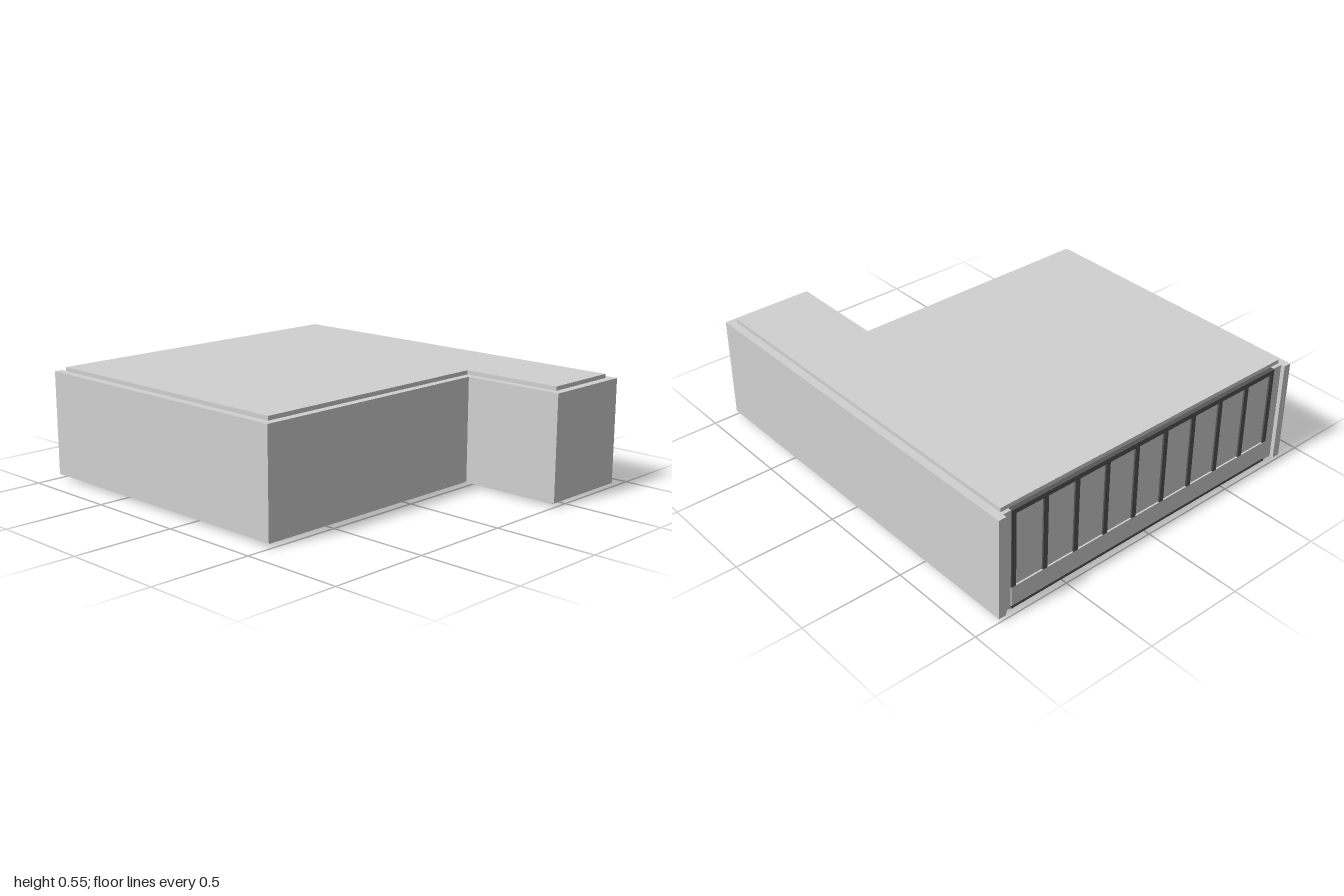
import * as THREE from 'three';

function material(name, color) {
  const m = new THREE.MeshStandardMaterial({ color });
  m.name = name;
  return m;
}
const grey = material('light grey', 0xd1d1d1);
const dark = material('dark frame grey', 0x555555);

const X = 0.875, T = 0.039;      // half width, wall thickness
const Y0 = 0.02, Y1 = 0.53;      // wall base and top
const BACK = -0.963;             // inner plane of the glazed side

// Extrudes a plan outline of [x, z] points upwards from y0 to y1
function slab(name, plan, y0, y1) {
  const shape = new THREE.Shape(plan.map(([x, z]) => new THREE.Vector2(x, -z)));
  const geo = new THREE.ExtrudeGeometry(shape, { depth: y1 - y0, bevelEnabled: false });
  geo.rotateX(-Math.PI / 2).translate(0, y0, 0);
  const mesh = new THREE.Mesh(geo, grey);
  mesh.name = name;
  return mesh;
}

// Box given by its limits on each axis
function box(name, mat, x0, x1, y0, y1, z0, z1) {
  const mesh = new THREE.Mesh(new THREE.BoxGeometry(x1 - x0, y1 - y0, z1 - z0), mat);
  mesh.position.set((x0 + x1) / 2, (y0 + y1) / 2, (z0 + z1) / 2);
  mesh.name = name;
  return mesh;
}

// L-shaped plan, inset from the outer faces, ending at zBack
const outline = (t, zBack) => [
  [-X + t, zBack], [-X + t, 0.49 - t], [0.411 + t, 0.49 - t],
  [0.411 + t, 1 - t], [X - t, 1 - t], [X - t, zBack],
];

export function createModel() {
  const room = new THREE.Group();
  room.name = 'room';

  // Walls around three sides, open at the back
  const walls = [...outline(0, -1), ...outline(T, -1).reverse()];
  room.add(slab('walls', walls, Y0, Y1));

  // Floor and ceiling, set in from the outer wall faces
  room.add(slab('floor', outline(T, BACK), 0, Y0));
  room.add(slab('ceiling', outline(T, BACK), Y1, 0.55));

  // Glazed back side
  const glazing = new THREE.Group();
  glazing.name = 'glazing';
  room.add(glazing);
  const inner = X - T, left = 0.795, right = -0.783, post = 0.025, count = 9;
  const front = -0.985, railBase = Y1 - 0.024, sill = Y0 + 0.014, sillTop = 0.133;

  // Plain jambs and dark rails
  glazing.add(box('jamb', grey, -inner, right, Y0, Y1, -0.98, BACK));
  glazing.add(box('jamb', grey, left, inner, Y0, Y1, -0.98, BACK));
  glazing.add(box('topRail', dark, right, left, railBase, Y1, front, BACK));
  glazing.add(box('bottomRail', dark, right, left, Y0, sill, front, BACK));

  // Dark mullions with a window pane and a lower panel in each bay
  const step = (left - right - post) / count;
  for (let i = 0; i <= count; i++) {
    const x = right + i * step;
    glazing.add(box('mullion', dark, x, x + post, sillTop, railBase, front, BACK));
    if (i === count) break;
    glazing.add(box('windowPane', grey, x + post, x + step, sillTop, railBase, -0.977, -0.97));
  }
  for (let i = 0; i < count; i++) {
    const width = (left - right) / count, x = right + i * width;
    glazing.add(box('lowerPanel', grey, x, x + width, sill, sillTop, front, BACK));
  }
  return room;
}
